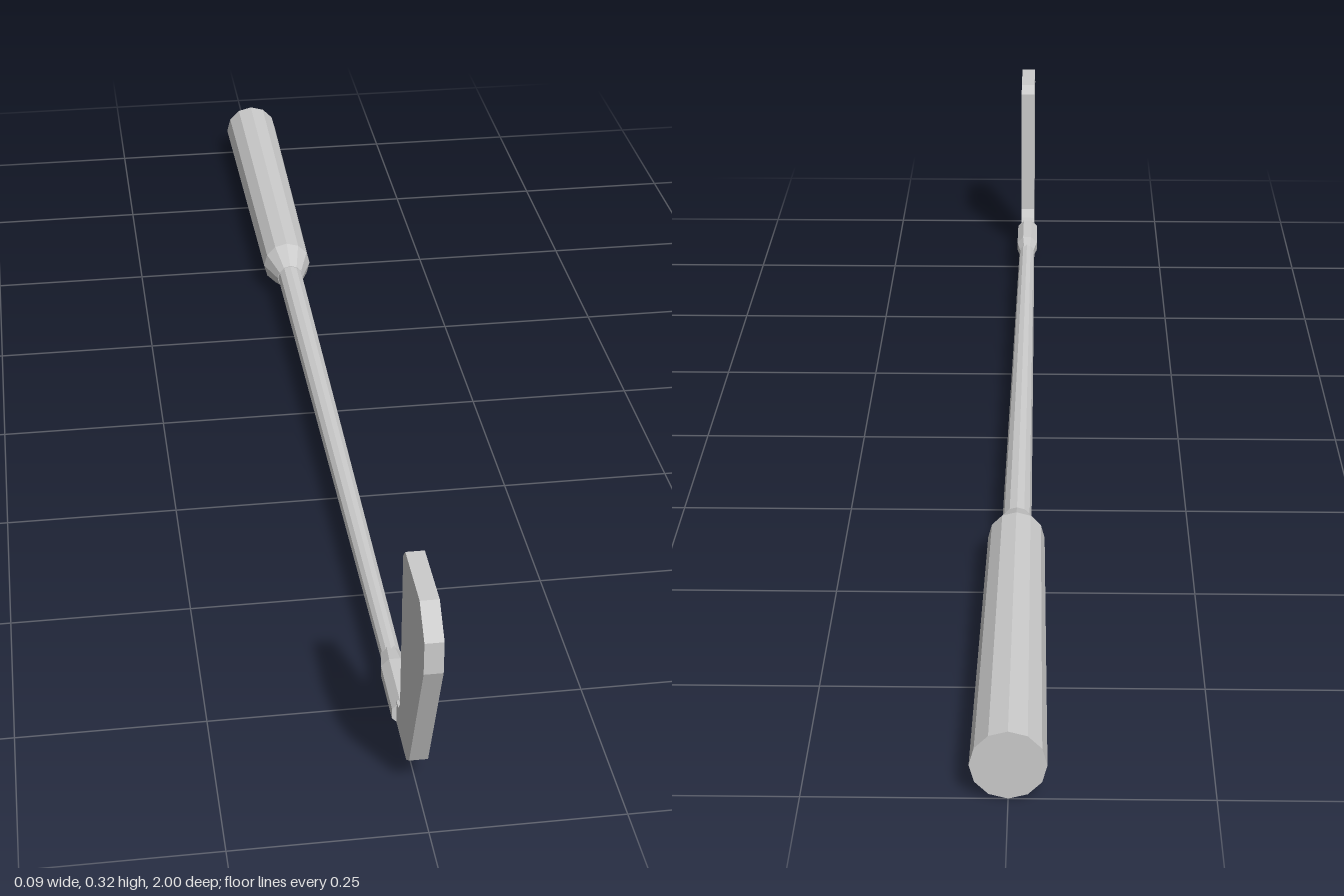
import * as THREE from 'three';

const AXIS_Y = 0.047; // height of the shaft's centre line
const material = new THREE.MeshStandardMaterial({ color: 0xcccccc, flatShading: true });

// Faceted turned part lying along z; profile is [radius, z] from back to front
function turned(name, profile, sides, turn = 0) {
  const points = profile.map(([r, z]) => new THREE.Vector2(r, z));
  const geometry = new THREE.LatheGeometry(points, sides, turn);
  geometry.rotateX(Math.PI / 2);
  const mesh = new THREE.Mesh(geometry, material);
  mesh.name = name;
  mesh.position.y = AXIS_Y;
  return mesh;
}

// Side profile of the head as [z, y]
const headOutline = [
  [0.82, 0.033], [0.9, 0.033], [0.92, 0.048], [1, 0.243], [1, 0.288], [0.963, 0.323],
  [0.862, 0.323], [0.848, 0.308], [0.848, 0.08], [0.838, 0.066], [0.82, 0.064],
];

// Slots in the striking face: top and bottom centre, as [z, y]
const grooves = [
  [[0.954, 0.225], [0.898, 0.092]],
  [[0.932, 0.237], [0.880, 0.104]],
  [[0.910, 0.246], [0.863, 0.128]],
  [[0.888, 0.254], [0.862, 0.192]],
];

const toPoint = ([z, y]) => new THREE.Vector2(-z, y);

// Rectangular slot of a given half width around a centre line
function grooveHole([top, bottom]) {
  const a = toPoint(top), b = toPoint(bottom);
  const d = b.clone().sub(a).normalize();
  const n = new THREE.Vector2(-d.y, d.x).multiplyScalar(0.007);
  return new THREE.Path([
    a.clone().add(n), b.clone().add(n), b.clone().sub(n), a.clone().sub(n),
  ]);
}

// Slab of the head profile between two x positions
function headSlab(name, x0, x1, holes = []) {
  const shape = new THREE.Shape(headOutline.map(toPoint));
  shape.holes.push(...holes);
  const geometry = new THREE.ExtrudeGeometry(shape, { depth: x1 - x0, bevelEnabled: false });
  geometry.rotateY(Math.PI / 2);
  geometry.translate(x0, 0, 0);
  const mesh = new THREE.Mesh(geometry, material);
  mesh.name = name;
  return mesh;
}

export function createModel() {
  const club = new THREE.Group();
  club.name = 'golfClub';

  // Grip with a closed butt and a short taper onto the shaft
  club.add(turned('grip', [[0, -1], [0.047, -1], [0.04, -0.425], [0.022, -0.375], [0, -0.375]], 12));

  // Slim tapering shaft
  club.add(turned('shaft', [[0.021, -0.38], [0.0135, 0.74]], 12));

  // Hosel flaring from the shaft to the head
  club.add(turned('hosel', [[0.0135, 0.7], [0.0195, 0.735], [0.0195, 0.825], [0, 0.825]], 8, Math.PI / 8));

  // Head: solid back plus a grooved striking face
  const head = new THREE.Group();
  head.name = 'head';
  head.add(headSlab('headBack', -0.012, 0.006));
  head.add(headSlab('headFace', 0.006, 0.012, grooves.map(grooveHole)));
  club.add(head);

  return club;
}
